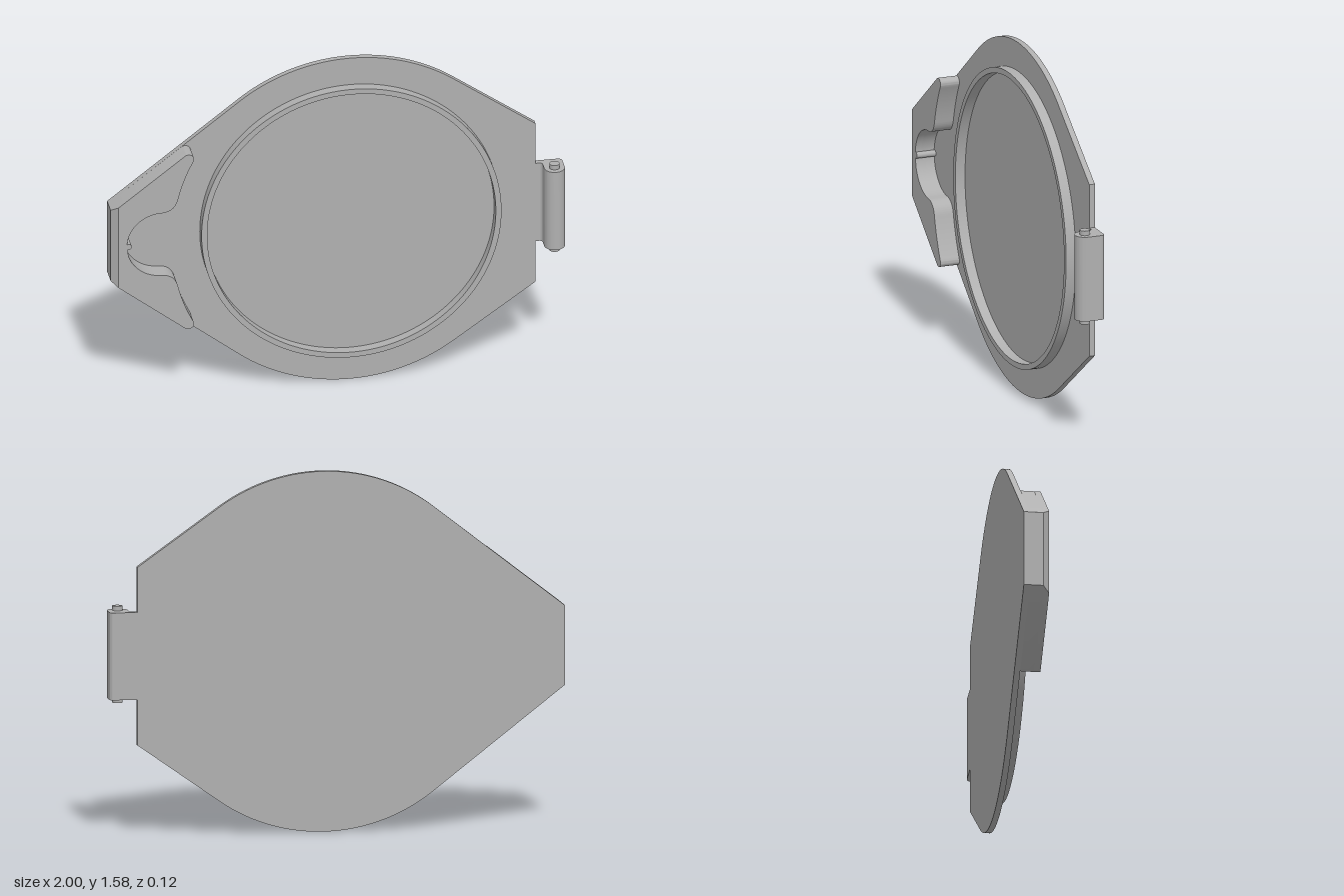
import * as THREE from 'three';
import { toCreasedNormals } from 'three/addons/utils/BufferGeometryUtils.js';

const CX = 0.063, CY = 0.79;              // centre of the round lid
const BACK = -0.061, FACE = -0.035;       // plate back and front planes
const RIM = 0.01, CLASP = 0.053, BEVEL = 0.025;

const grey = new THREE.MeshStandardMaterial({ color: 0xb0b0b0 });
grey.name = 'plain grey';

function addMesh(group, name, geometry) {
  const mesh = new THREE.Mesh(geometry, grey);
  mesh.name = name;
  group.add(mesh);
  return mesh;
}

// Extrude a shape between two z planes
function slab(shape, z0, z1, curveSegments = 48) {
  const g = new THREE.ExtrudeGeometry(shape, { depth: z1 - z0, bevelEnabled: false, curveSegments });
  g.translate(0, 0, z0);
  return g;
}
const smooth = (g) => toCreasedNormals(g, 0.5);

// Round plate with straight flanks tapering to both ends
function plateShape() {
  const left = THREE.MathUtils.degToRad(127.8), right = THREE.MathUtils.degToRad(54.7);
  const s = new THREE.Shape();
  s.moveTo(0.88, 0.4);
  s.lineTo(0.88, 1.18);
  s.absarc(CX, CY, 0.79, right, left, false);
  s.lineTo(-1, 0.964);
  s.lineTo(-1, 0.616);
  s.absarc(CX, CY, 0.79, -left, -right, false);
  s.closePath();
  return s;
}

// Raised grip: follows the plate's tapered end, with a finger recess cut in
function claspShape() {
  const m = (y) => 2 * CY - y;            // mirror across the centre line
  const s = new THREE.Shape();
  s.moveTo(-1, 0.964);
  s.lineTo(-1, m(0.964));
  s.lineTo(-0.675, m(1.216));
  s.bezierCurveTo(-0.655, m(1.225), -0.63, m(1.21), -0.64, m(1.185));
  s.quadraticCurveTo(-0.685, m(1.1), -0.708, m(1.005));
  s.quadraticCurveTo(-0.722, m(0.945), -0.78, m(0.943));
  s.absarc(-0.78, CY, 0.153, -Math.PI / 2, Math.PI / 2, true);
  s.quadraticCurveTo(-0.722, 0.945, -0.708, 1.005);
  s.quadraticCurveTo(-0.685, 1.1, -0.64, 1.185);
  s.bezierCurveTo(-0.63, 1.21, -0.655, 1.225, -0.675, 1.216);
  s.closePath();
  return s;
}

// Hinge cross-section seen along its pin (shape y is -z)
function hingeShape() {
  const s = new THREE.Shape();
  s.moveTo(0.88, -FACE);
  s.lineTo(0.895, -FACE);
  s.quadraticCurveTo(0.91, -FACE, 0.91, 0.02);
  s.lineTo(0.91, -0.016);
  s.absarc(0.955, -0.016, 0.045, Math.PI, Math.PI * 2, false);
  s.lineTo(1, 0.041);
  s.quadraticCurveTo(1, -BACK, 0.98, -BACK);
  s.lineTo(0.88, -BACK);
  s.closePath();
  return s;
}

export function createModel() {
  const model = new THREE.Group();
  model.name = 'hingedLid';

  addMesh(model, 'plate', smooth(slab(plateShape(), BACK, FACE, 64)));

  // Raised circular rim
  const ring = new THREE.Shape();
  ring.absarc(CX, CY, 0.66, 0, Math.PI * 2, false);
  const hole = new THREE.Path();
  hole.absarc(CX, CY, 0.635, 0, Math.PI * 2, true);
  ring.holes.push(hole);
  addMesh(model, 'sealingRim', smooth(slab(ring, FACE, RIM, 96)));

  // Clasp in two layers; the front one is bevelled on its outer edge
  const clasp = new THREE.Group();
  clasp.name = 'clasp';
  model.add(clasp);
  addMesh(clasp, 'claspBase', smooth(slab(claspShape(), FACE, BEVEL, 24)));
  const top = slab(claspShape(), BEVEL, CLASP, 24);
  const p = top.attributes.position;
  for (let i = 0; i < p.count; i++) {
    if (p.getX(i) < -0.995 && p.getZ(i) > CLASP - 0.001) {
      p.setX(i, -0.97);
      p.setY(i, p.getY(i) + 0.023 * Math.sign(p.getY(i) - CY));
    }
  }
  addMesh(clasp, 'claspTop', smooth(top));

  // Small locating nib on the recess wall
  const nib = addMesh(clasp, 'nib', new THREE.CylinderGeometry(0.014, 0.014, CLASP - FACE, 20));
  nib.rotation.x = Math.PI / 2;
  nib.position.set(-0.926, CY, (CLASP + FACE) / 2);

  // Hinge barrel and pin
  const hinge = new THREE.Group();
  hinge.name = 'hinge';
  model.add(hinge);
  const barrel = slab(hingeShape(), 0.6, 0.983, 24);
  barrel.rotateX(-Math.PI / 2);
  addMesh(hinge, 'hingeBarrel', smooth(barrel));
  const pin = addMesh(hinge, 'hingePin', new THREE.CylinderGeometry(0.022, 0.022, 0.425, 32));
  pin.position.set(0.955, 0.791, 0.016);

  return model;
}
